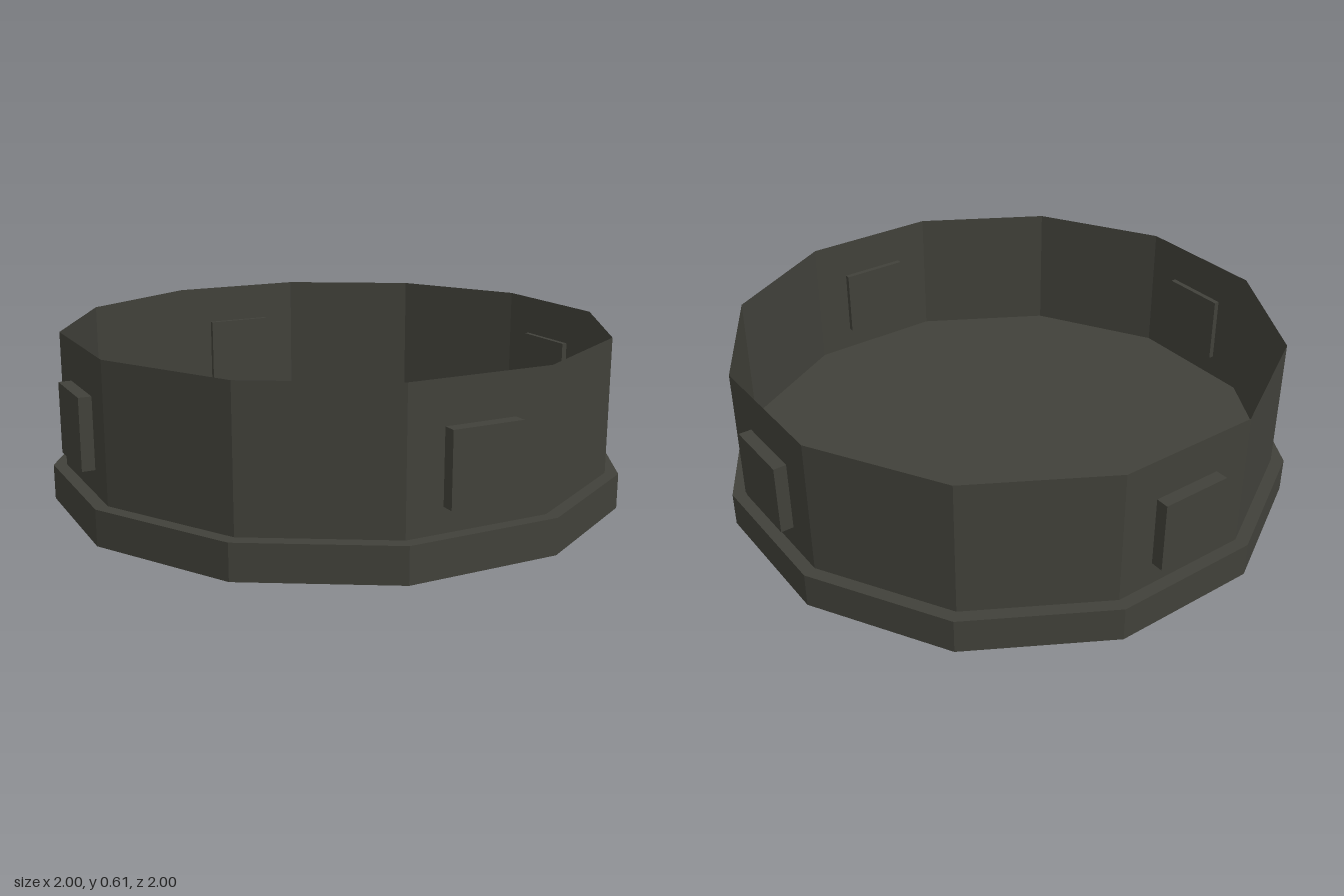
import * as THREE from 'three';

const SIDES = 12;
const HALF = Math.PI / SIDES;

// Twelve-sided prism with flat faces toward the axes, sized by its apothem
function prism(apothem, y0, y1, open) {
  const r = apothem / Math.cos(HALF);
  const geo = new THREE.CylinderGeometry(r, r, y1 - y0, SIDES, 1, open);
  geo.rotateY(HALF);
  geo.translate(0, (y0 + y1) / 2, 0);
  return geo;
}

export function createModel() {
  const group = new THREE.Group();
  const darkOlive = new THREE.MeshStandardMaterial({ color: 0x41413a });
  darkOlive.name = 'darkOlive';
  darkOlive.flatShading = true;
  darkOlive.side = THREE.DoubleSide;

  const add = (name, geo) => {
    const mesh = new THREE.Mesh(geo, darkOlive);
    mesh.name = name;
    group.add(mesh);
    return mesh;
  };

  // Solid base plate and thin open wall
  add('base', prism(1, 0, 0.125, false));
  add('wall', prism(0.955, 0.125, 0.607, true));

  // Four square lugs passing through the wall
  ['front', 'left', 'back', 'right'].forEach((side, i) => {
    const geo = new THREE.BoxGeometry(0.252, 0.25, 0.065);
    geo.translate(0, 0.335, 0.9675);
    add(side + 'Lug', geo).rotation.y = i * Math.PI / 2;
  });

  return group;
}
